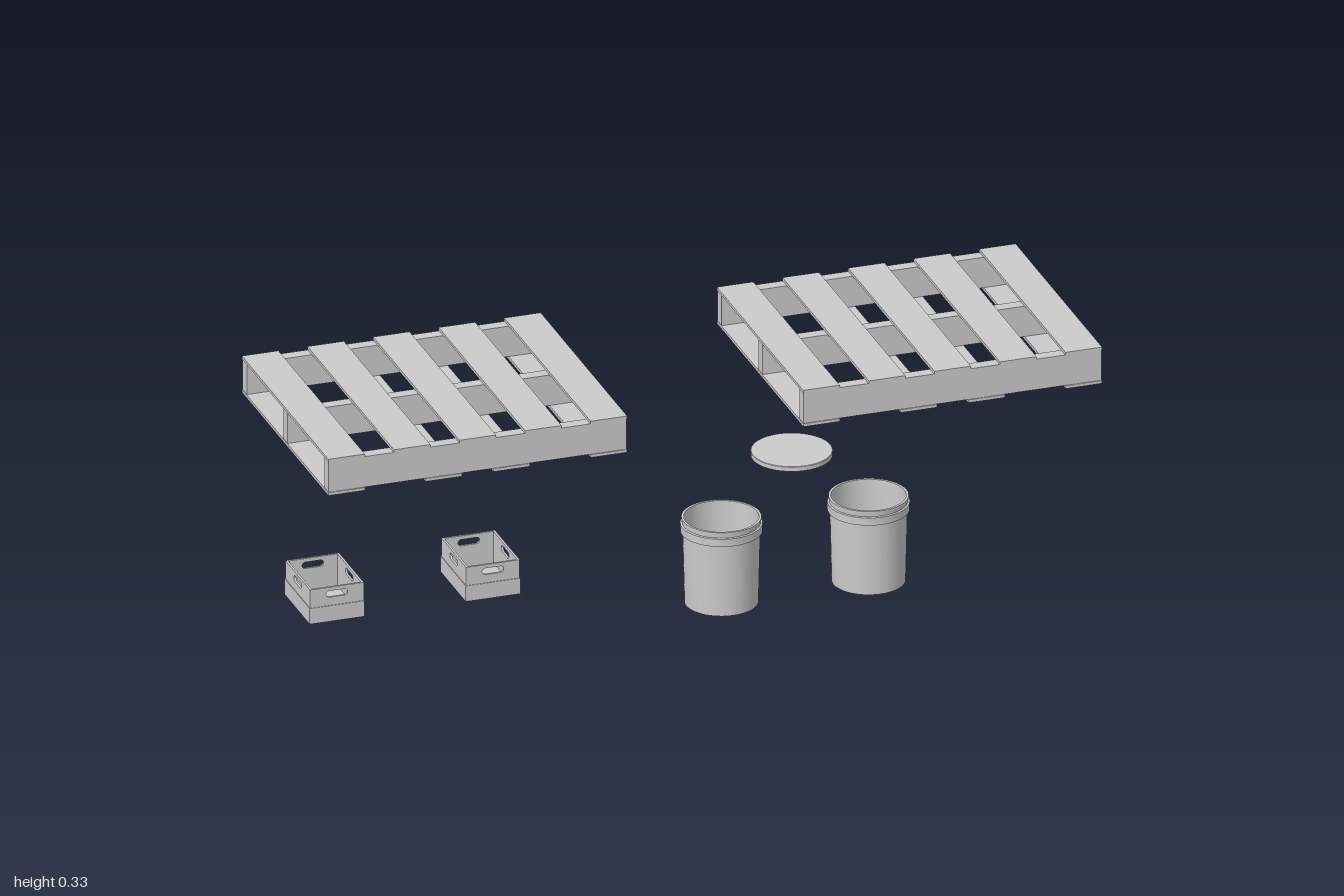
import * as THREE from 'three';
import { toCreasedNormals } from 'three/addons/utils/BufferGeometryUtils.js';

const material = new THREE.MeshStandardMaterial({ color: 0xcccccc });

function add(parent, name, geometry, x = 0, y = 0, z = 0) {
  const mesh = new THREE.Mesh(geometry, material);
  mesh.name = name;
  mesh.position.set(x, y, z);
  parent.add(mesh);
  return mesh;
}

function group(parent, name, x, y, z) {
  const g = new THREE.Group();
  g.name = name;
  g.position.set(x, y, z);
  parent.add(g);
  return g;
}

// Revolved solid with crisp edges
function turned(profile) {
  const points = profile.map(([r, y]) => new THREE.Vector2(r, y));
  return toCreasedNormals(new THREE.LatheGeometry(points, 40), 0.6);
}

// Three stringers, five deck boards on top and four boards underneath
function addPallet(parent, x) {
  const W = 0.68, D = 0.565, board = 0.083, t = 0.007, low = 0.026, high = 0.112;
  const pallet = group(parent, 'pallet', x, 0, -0.415);
  const plank = new THREE.BoxGeometry(board, t, D);
  const edge = (W - board) / 2;
  for (let i = 0; i < 5; i++) {
    add(pallet, 'deckBoard', plank, -edge + (i * edge) / 2, high - t / 2, 0);
  }
  for (const bx of [-edge, -0.077, 0.077, edge]) {
    add(pallet, 'bottomBoard', plank, bx, low + t / 2, 0);
  }
  const stringer = new THREE.BoxGeometry(W - 0.002, high - low - 2 * t, 0.027);
  for (const s of [-1, 0, 1]) {
    add(pallet, 'stringer', stringer, 0, (low + high) / 2, s * (D / 2 - 0.0155));
  }
}

// Upright panel with a rounded hand slot, centred on its thickness
function slottedPanel(width, height, thickness) {
  const shape = new THREE.Shape();
  shape.moveTo(-width / 2, 0);
  shape.lineTo(width / 2, 0);
  shape.lineTo(width / 2, height);
  shape.lineTo(-width / 2, height);
  shape.closePath();
  const r = 0.0075, half = 0.017, y = 0.064;
  const slot = new THREE.Path();
  slot.absarc(half, y, r, -Math.PI / 2, Math.PI / 2, false);
  slot.absarc(-half, y, r, Math.PI / 2, Math.PI * 1.5, false);
  slot.closePath();
  shape.holes.push(slot);
  const geometry = new THREE.ExtrudeGeometry(shape, { depth: thickness, bevelEnabled: false, curveSegments: 8 });
  return geometry.translate(0, 0, -thickness / 2);
}

// Open crate with hand slots on all sides and a thicker lower half
function addCrate(parent, x) {
  const W = 0.125, D = 0.165, H = 0.08, t = 0.005, lip = 0.0015;
  const crate = group(parent, 'crate', x, 0, 0.345);
  add(crate, 'crateFloor', new THREE.BoxGeometry(W - 2 * t, t, D - 2 * t), 0, t / 2, 0);
  const endPanel = slottedPanel(W - 2 * lip, H, t);
  const sidePanel = slottedPanel(D - 2 * t - 2 * lip, H, t);
  const endBand = new THREE.BoxGeometry(W, 0.037, lip);
  const sideBand = new THREE.BoxGeometry(lip, 0.037, D - 2 * lip);
  for (const s of [-1, 1]) {
    add(crate, 'crateEnd', endPanel, 0, 0, s * (D / 2 - lip - t / 2));
    add(crate, 'crateSide', sidePanel, s * (W / 2 - lip - t / 2), 0, 0).rotation.y = Math.PI / 2;
    add(crate, 'endBand', endBand, 0, 0.0185, s * (D / 2 - lip / 2));
    add(crate, 'sideBand', sideBand, s * (W / 2 - lip / 2), 0.0185, 0);
  }
}

export function createModel() {
  const model = new THREE.Group();
  model.name = 'palletsCratesAndBuckets';

  for (const x of [-0.422, 0.659]) addPallet(model, x);
  for (const x of [-0.937, -0.582]) addCrate(model, x);

  // Tapered open buckets with a collar below the rim
  const bucket = turned([
    [0, 0], [0.08, 0], [0.084, 0.167], [0.089, 0.168], [0.089, 0.186], [0.085, 0.187],
    [0.0865, 0.196], [0.0865, 0.2], [0.081, 0.2], [0.077, 0.005], [0, 0.005],
  ]);
  for (const x of [-0.124, 0.211]) add(model, 'bucket', bucket, x, 0, 0.604);

  // Loose lid with a shallow skirt underneath
  const lid = turned([
    [0, 0.005], [0.084, 0.005], [0.084, 0], [0.0885, 0], [0.0885, 0.01], [0.0875, 0.011], [0, 0.011],
  ]);
  add(model, 'bucketLid', lid, 0.036, 0.322, 0.604);

  return model;
}
